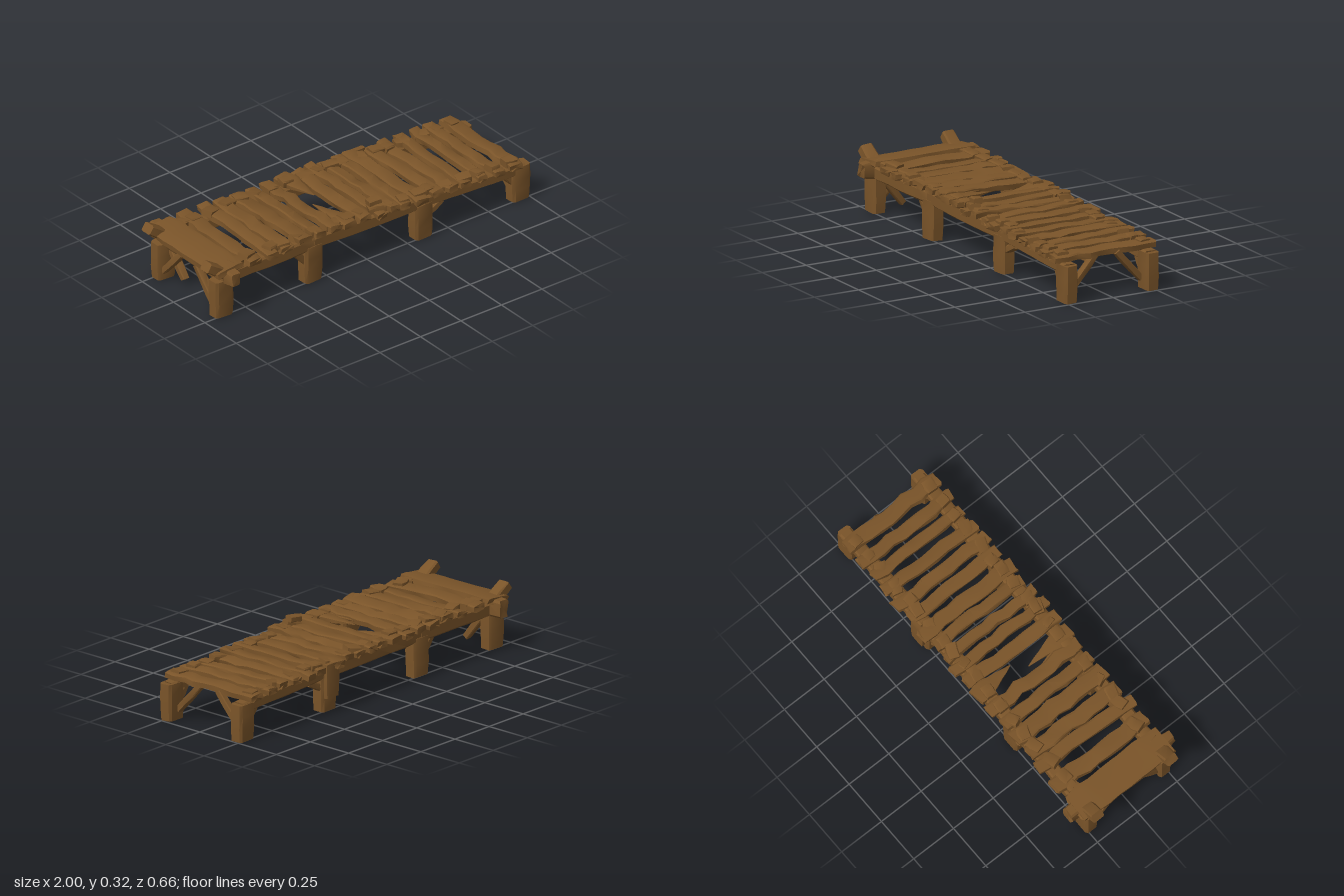
import * as THREE from 'three';
import { toCreasedNormals } from 'three/addons/utils/BufferGeometryUtils.js';

const wood = new THREE.MeshStandardMaterial({ color: 0x7a5429 });
wood.name = 'weathered brown wood';

// Repeatable noise from -1 to 1
function noise(a, b = 0, c = 0) {
  const s = Math.sin(a * 12.9898 + b * 78.233 + c * 37.719) * 43758.5453;
  return (s - Math.floor(s)) * 2 - 1;
}

let seed = 1;
const V = (x, y, z) => new THREE.Vector3(x, y, z);

// Rough-hewn timber from a to b: chamfered section w by h, with wobble and optional taper at b
function timber(name, a, b, w, h, { rings = 6, wobble = 0.006, rough = 0.08, endB = 0.92, taperFrom = 0.8, roll = 0 } = {}) {
  const id = seed++;
  const geo = new THREE.CylinderGeometry(1, 1, 1, 8, rings, false, Math.PI / 8);
  const dir = b.clone().sub(a);
  const len = dir.length();
  dir.normalize();
  const side = Math.abs(dir.y) > 0.99 ? V(1, 0, 0) : dir.clone().cross(V(0, 1, 0)).normalize();
  side.applyAxisAngle(dir, roll);
  const up = side.clone().cross(dir);
  const pos = geo.attributes.position;
  const box = (c) => Math.sign(c) * Math.pow(Math.abs(c), 0.35) / 0.973;
  for (let i = 0; i < pos.count; i++) {
    const t = pos.getY(i) + 0.5;
    const ring = Math.round(t * rings);
    const x = pos.getX(i), z = pos.getZ(i);
    const r = Math.hypot(x, z);
    const corner = (Math.round((Math.atan2(z, x) / Math.PI) * 4 - 0.5) + 8) % 8;
    let k = 1 + rough * noise(id, ring, corner);
    if (ring === 0) k *= 0.93;
    if (t > taperFrom) k *= 1 + (endB - 1) * (t - taperFrom) / (1 - taperFrom);
    const sx = r > 0.5 ? box(x) : 0, sz = r > 0.5 ? box(z) : 0;
    const p = a.clone().lerp(b, t)
      .addScaledVector(side, sx * k * w / 2 + wobble * noise(id, ring, 21))
      .addScaledVector(up, sz * k * h / 2 + wobble * 0.35 * noise(id, ring, 33));
    if (ring === 0 || ring === rings) p.addScaledVector(dir, 0.012 * Math.min(1, len) * noise(id, corner, 5) * (r > 0.5 ? 1 : 0));
    pos.setXYZ(i, p.x, p.y, p.z);
  }
  const mesh = new THREE.Mesh(toCreasedNormals(geo, 0.6), wood);
  mesh.name = name;
  return mesh;
}

// Plank centre height along the sagging deck
function deckY(x) {
  const k = [[-1, 0.255], [-0.5, 0.255], [0, 0.25], [0.3, 0.232], [0.6, 0.222], [1, 0.208]];
  for (let i = 1; i < k.length; i++) {
    if (x <= k[i][0]) {
      return THREE.MathUtils.mapLinear(x, k[i - 1][0], k[i][0], k[i - 1][1], k[i][1]);
    }
  }
  return 0.208;
}

export function createModel() {
  const bridge = new THREE.Group();
  bridge.name = 'woodenFootbridge';
  const add = (...args) => bridge.add(timber(...args));

  for (const s of [1, -1]) {
    // Posts
    [[-0.885, 0.2], [-0.335, 0.2], [0.345, 0.19], [0.945, 0.19]].forEach(([x, top]) =>
      add('post', V(x, 0, s * 0.231), V(x, top, s * 0.231), 0.11, 0.073,
        { rings: 3, wobble: 0.001, rough: 0.02, endB: 0.98 }));

    // Side rails in three runs, following the sag
    const rail = [[-0.9, 0.21], [-0.33, 0.21], [0.35, 0.198], [0.97, 0.17]];
    for (let i = 0; i < 3; i++) {
      add('sideRail', V(rail[i][0], rail[i][1], s * 0.231), V(rail[i + 1][0], rail[i + 1][1], s * 0.231),
        0.07, i < 2 ? 0.068 : 0.056, { wobble: 0.002, rough: 0.04 });
    }

    // Upturned log ends
    add('upturnedLogEnd', V(-0.83, 0.2, s * 0.231), V(-0.98, 0.3, s * 0.231), 0.07, 0.055, { rings: 3, wobble: 0.002, rough: 0.05 });

    // Braces across the ends
    for (const x of [0.925, -0.9]) {
      add('endBrace', V(x, 0.05, s * 0.2), V(x, 0.205, s * 0.06), 0.04, 0.034, { rings: 3, wobble: 0.002 });
    }
    add('crossBrace', V(-0.855, 0.19, s * 0.22), V(-0.855, 0.032, s * 0.095), 0.04, 0.034, { rings: 3, wobble: 0.002, rough: 0.04 });

    // Small braces beneath the rails
    [[-0.36, 0.1, -0.43, 0.18], [0.36, 0.11, 0.47, 0.165], [0.925, 0.08, 0.86, 0.16]].forEach(([x0, y0, x1, y1]) =>
      add('railBrace', V(x0, y0, s * 0.228), V(x1, y1, s * 0.228), 0.05, 0.035, { rings: 2, wobble: 0.001 }));
  }

  // Cross log at the high end
  add('crossLog', V(-0.865, 0.223, -0.325), V(-0.865, 0.223, 0.325), 0.07, 0.095,
    { rings: 8, wobble: 0.003, rough: 0.04, endB: 0.75, taperFrom: 0.9 });

  // Loose board on the back of one post
  add('looseBoard', V(0.35, 0.075, -0.281), V(0.35, 0.25, -0.281), 0.09, 0.027, { rings: 3, wobble: 0.002, rough: 0.05 });

  // Deck planks: centre x, width
  const planks = [
    [-0.71, 0.085], [-0.595, 0.068], [-0.51, 0.08], [-0.4, 0.09], [-0.305, 0.068], [-0.215, 0.072],
    [-0.03, 0.07], [0.06, 0.06], [0.14, 0.06], [0.225, 0.062], [0.315, 0.078], [0.41, 0.068],
    [0.5, 0.068], [0.6, 0.066], [0.69, 0.06], [0.79, 0.068], [0.895, 0.08],
  ];
  planks.forEach(([x, w], i) => {
    const y = deckY(x), tilt = 0.008 * noise(i, 3);
    add('deckPlank', V(x + 0.008 * noise(i, 1), y - tilt, -0.29 + 0.012 * noise(i, 7)),
      V(x + 0.008 * noise(i, 2), y + tilt, 0.285 + 0.012 * noise(i, 8)), w, 0.036,
      { rings: 9, wobble: 0.009, rough: 0.1, roll: 0.12 * noise(i, 4) });
  });

  // Wide end board
  add('endBoard', V(-0.868, 0.258, -0.285), V(-0.868, 0.258, 0.285), 0.165, 0.036,
    { rings: 8, wobble: 0.005, rough: 0.05, roll: 0.12 });

  // Snapped plank: long splinter and short stub
  add('brokenPlank', V(-0.125, 0.253, 0.285), V(-0.15, 0.25, 0.01), 0.08, 0.034, { endB: 0.06, taperFrom: 0.35, wobble: 0.003 });
  add('brokenPlank', V(-0.12, 0.253, -0.295), V(-0.085, 0.25, -0.06), 0.095, 0.034, { endB: 0.06, taperFrom: 0.3, wobble: 0.003 });
  add('splinter', V(-0.17, 0.252, 0.27), V(-0.185, 0.252, 0.04), 0.035, 0.025, { endB: 0.1, taperFrom: 0.4, wobble: 0.003 });

  // Short blocks holding the planks down over the rails
  const blocks = [...planks.map((p) => p[0]), -0.125, -0.8];
  blocks.forEach((x, i) => {
    for (const s of [1, -1]) {
      const n = i * 2 + s, z = s * (0.226 + 0.008 * noise(n, 11));
      const cx = x + 0.018 * noise(n, 12), y = deckY(x) + 0.009 + 0.006 * noise(n, 13);
      const half = 0.033 + 0.008 * noise(n, 14), skew = 0.014 * noise(n, 15);
      add('holdDownBlock', V(cx - half, y - skew * 0.5, z - skew), V(cx + half, y + skew * 0.5, z + skew),
        0.062, 0.038, { rings: 2, wobble: 0.003, rough: 0.12 });
    }
  });

  // Raised peg near the middle
  add('raisedPeg', V(0.03, 0.288, 0.215), V(0.095, 0.294, 0.225), 0.05, 0.032, { rings: 2, wobble: 0.002 });

  return bridge;
}
